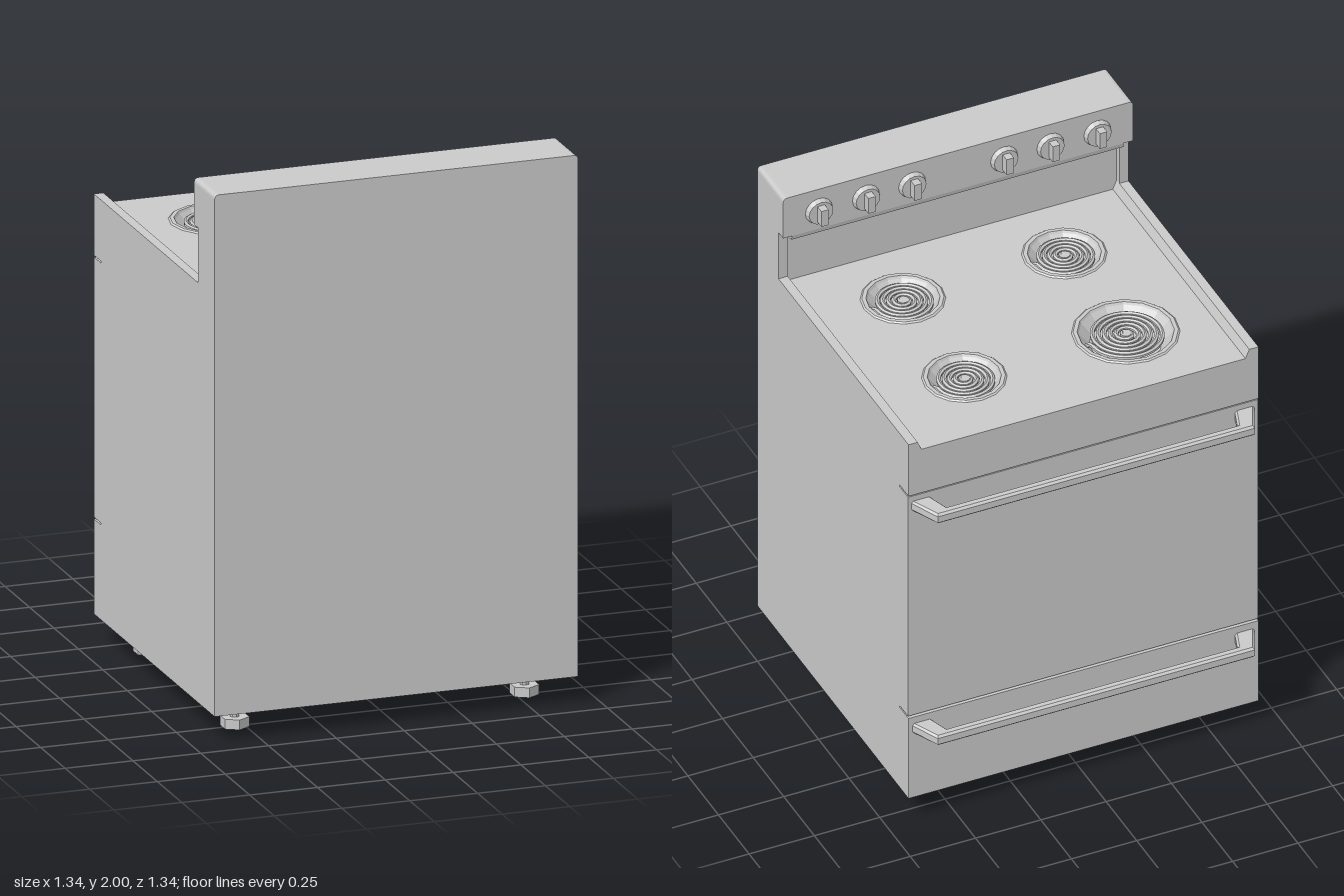
import * as THREE from 'three';

const W = 0.67, BACK = 0.67, FRONT = -0.565, TOP = 1.595;

export function createModel() {
  const stove = new THREE.Group();
  stove.name = 'stove';
  const mat = new THREE.MeshStandardMaterial({ color: 0xcccccc, flatShading: true });
  const panMat = mat.clone();
  panMat.side = THREE.DoubleSide;

  const add = (name, geo, x = 0, y = 0, z = 0, material = mat, parent = stove) => {
    const mesh = new THREE.Mesh(geo, material);
    mesh.name = name;
    mesh.position.set(x, y, z);
    parent.add(mesh);
    return mesh;
  };
  const poly = (pts) => new THREE.Shape(pts.map(([a, b]) => new THREE.Vector2(a, b)));
  const extrude = (shape, depth, opts = {}) =>
    new THREE.ExtrudeGeometry(shape, { depth, bevelEnabled: false, curveSegments: 4, ...opts });
  // Side profile of [z, y] points, swept across the width
  const sweepX = (pts, width) => extrude(poly(pts), width).rotateY(-Math.PI / 2).translate(width / 2, 0, 0);

  // Cabinet with thin slots above and below the door
  const slot = -0.49, door = FRONT + 0.004;
  add('cabinet', sweepX([
    [BACK, 0.1], [BACK, 1.5], [FRONT, 1.5], [FRONT, 1.407], [slot, 1.407], [slot, 1.4],
    [door, 1.4], [door, 0.453], [slot, 0.453], [slot, 0.446], [FRONT, 0.446], [FRONT, 0.1],
  ], 2 * W));

  // Cooktop slab with a hole for every burner
  const burners = [
    { x: -0.31, z: -0.248, r: 0.189, turns: 6 },
    { x: 0.308, z: -0.248, r: 0.149, turns: 5 },
    { x: -0.31, z: 0.254, r: 0.149, turns: 5 },
    { x: 0.308, z: 0.254, r: 0.149, turns: 5 },
  ];
  const slab = poly([[-W, FRONT], [W, FRONT], [W, BACK], [-W, BACK]]);
  for (const b of burners) {
    slab.holes.push(new THREE.Path().absarc(b.x, b.z, b.r * 0.92, 0, Math.PI * 2, true));
  }
  add('cooktop', extrude(slab, TOP - 1.5, { curveSegments: 16 }).rotateX(Math.PI / 2), 0, TOP, 0);

  // Raised side rims with sloped inner faces
  for (const s of [-1, 1]) {
    const rim = poly([[s * W, TOP], [s * W, 1.63], [s * 0.635, 1.63], [s * 0.62, TOP]]);
    add(s > 0 ? 'leftRim' : 'rightRim', extrude(rim, BACK - FRONT), 0, 0, FRONT);
  }

  // Burners: faceted drip pan and spiral coil
  for (const b of burners) {
    const burner = new THREE.Group();
    burner.name = 'burner';
    burner.position.set(b.x, TOP, b.z);
    stove.add(burner);
    const rim = [[0, -0.045], [b.r - 0.062, -0.045], [b.r - 0.025, -0.004], [b.r - 0.02, 0.005],
      [b.r - 0.006, 0.005], [b.r, 0]].map(([x, y]) => new THREE.Vector2(x, y));
    add('dripPan', new THREE.LatheGeometry(rim, 16), 0, 0, 0, panMat, burner);

    const outer = b.r * 0.72, n = b.turns * 16, path = [];
    for (let i = 0; i <= n; i++) {
      const a = (i / n) * b.turns * Math.PI * 2;
      const r = 0.012 + (outer - 0.012) * (i / n);
      path.push(new THREE.Vector3(r * Math.cos(a), 0, r * Math.sin(a)));
    }
    path.push(new THREE.Vector3(b.r * 0.78, -0.012, 0.012), new THREE.Vector3(b.r * 0.8, -0.03, 0.015));
    const coil = new THREE.TubeGeometry(new THREE.CatmullRomCurve3(path), b.turns * 24, 0.0088, 6);
    add('coil', coil, 0, -0.012, 0, panMat, burner);
    add('coilHub', new THREE.CylinderGeometry(0.02, 0.02, 0.02, 12), 0, -0.014, 0, mat, burner);
  }

  // Backsplash: back panel and control panel share rounded top corners
  const panel = (y0) => {
    const c = 0.017, s = new THREE.Shape();
    s.moveTo(-W, y0).lineTo(W, y0).lineTo(W, 2 - c);
    s.quadraticCurveTo(W, 2, W - c, 2).lineTo(-W + c, 2);
    s.quadraticCurveTo(-W, 2, -W, 2 - c).lineTo(-W, y0);
    return s;
  };
  add('backPanel', extrude(panel(TOP), BACK - 0.52), 0, 0, 0.52);
  add('controlPanel', extrude(panel(1.83), 0.06), 0, 0, 0.46);
  add('controlPanelLip', sweepX([[0.52, 1.83], [0.462, 1.83], [0.466, 1.81], [0.495, 1.802], [0.52, 1.815]], 1.27));
  for (const s of [-1, 1]) {
    add('cheek', new THREE.BoxGeometry(0.035, 0.235, 0.022), s * (W - 0.0175), 1.7125, 0.509);
  }

  // Control knobs: round dial with an upright grip
  for (const x of [0.176, 0.353, 0.533]) {
    for (const s of [-1, 1]) {
      const knob = new THREE.Group();
      knob.name = 'knob';
      knob.position.set(s * x, 1.908, 0.46);
      stove.add(knob);
      const dial = new THREE.CylinderGeometry(0.046, 0.052, 0.018, 16).rotateX(-Math.PI / 2);
      add('dial', dial, 0, 0, -0.009, mat, knob);
      add('grip', new THREE.BoxGeometry(0.028, 0.066, 0.034), 0, 0, -0.033, mat, knob);
    }
  }

  // Door and drawer handles: bevelled bars with slanted ends
  const bar = poly([
    [-0.65, -0.56], [-0.602, -0.662], [0.602, -0.662], [0.65, -0.56],
    [0.59, -0.56], [0.562, -0.643], [-0.562, -0.643], [-0.59, -0.56],
  ]);
  const bevel = { bevelEnabled: true, bevelThickness: 0.008, bevelSize: 0.008, bevelSegments: 1 };
  for (const [name, y] of [['doorHandle', 1.356], ['drawerHandle', 0.397]]) {
    add(name, extrude(bar, 0.026, bevel).rotateX(Math.PI / 2), 0, y + 0.013, 0);
  }

  // Levelling feet: hexagonal pad on a stem
  for (const x of [-0.534, 0.534]) {
    for (const z of [-0.392, 0.497]) {
      const foot = new THREE.Group();
      foot.name = 'foot';
      foot.position.set(x, 0, z);
      stove.add(foot);
      add('pad', new THREE.CylinderGeometry(0.052, 0.052, 0.036, 6), 0, 0.018, 0, mat, foot);
      add('stem', new THREE.CylinderGeometry(0.017, 0.017, 0.07, 8), 0, 0.07, 0, mat, foot);
    }
  }
  return stove;
}
